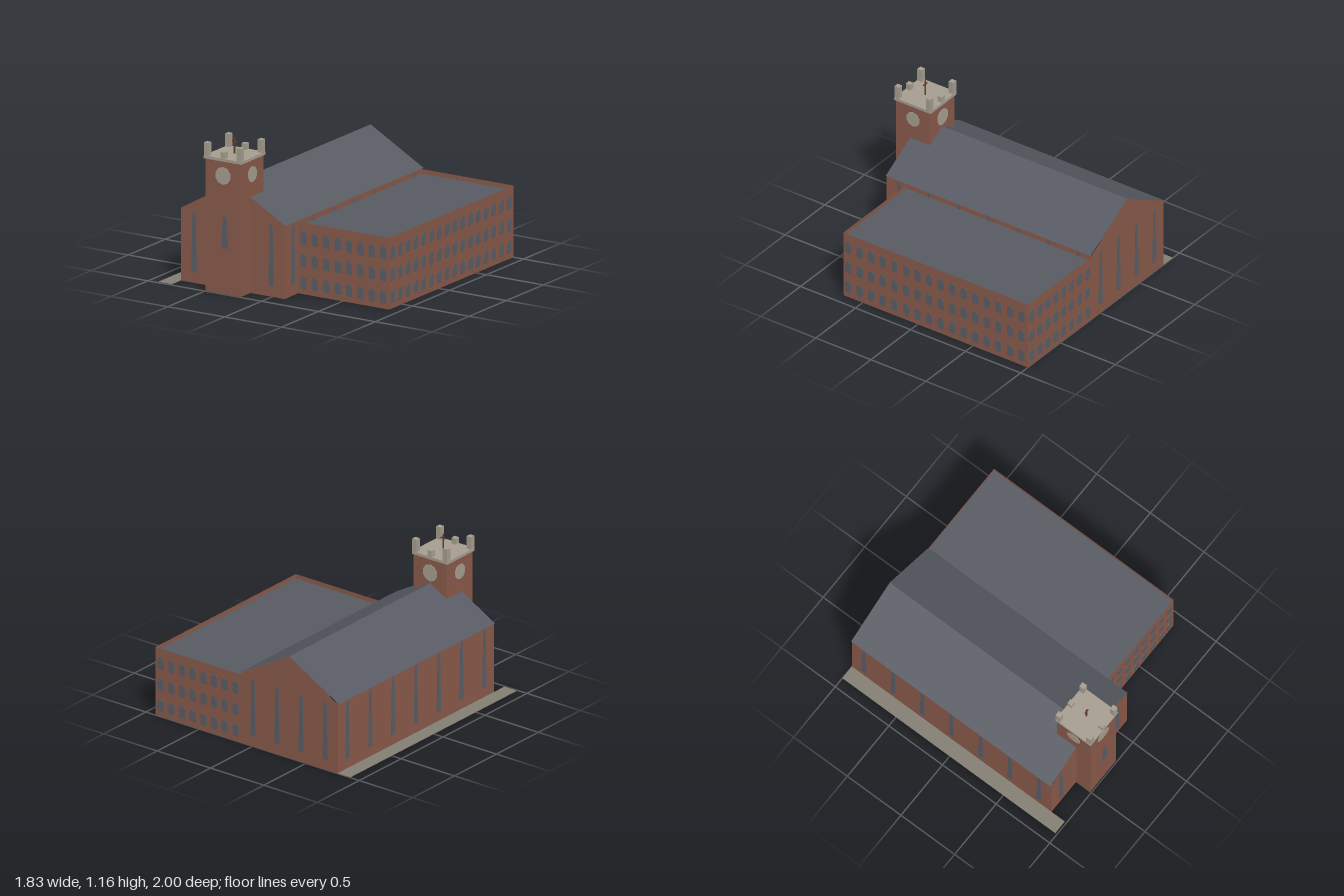
import * as THREE from 'three';

const mat = (name, color, side = THREE.FrontSide) => {
  const m = new THREE.MeshStandardMaterial({ color, side });
  m.name = name;
  return m;
};

export function createModel() {
  const model = new THREE.Group();
  model.name = 'brickChurch';
  const brick = mat('brick', 0x8a5a4b, THREE.DoubleSide);
  const slate = mat('slate', 0x585b63, THREE.DoubleSide);
  const stone = mat('stone', 0xa79f90);
  const glass = mat('glass', 0x5a5f67);
  const paving = mat('paving', 0x847f74);
  const iron = mat('darkRed', 0x6b3a32);

  const group = (name, parent = model) => {
    const g = new THREE.Group();
    g.name = name;
    parent.add(g);
    return g;
  };
  const add = (parent, name, geo, material, x = 0, y = 0, z = 0, ry = 0) => {
    const m = new THREE.Mesh(geo, material);
    m.name = name;
    m.position.set(x, y, z);
    m.rotation.y = ry;
    parent.add(m);
    return m;
  };
  const box = (parent, name, material, w, h, d, x, y, z) =>
    add(parent, name, new THREE.BoxGeometry(w, h, d), material, x, y, z);
  const shape = pts => new THREE.Shape(pts.map(p => new THREE.Vector2(...p)));
  const wall = (parent, name, pts, x, z, ry = 0) =>
    add(parent, name, new THREE.ShapeGeometry(shape(pts)), brick, x, 0, z, ry);
  const rect = (a, b, h) => [[a, 0], [b, 0], [b, h], [a, h]];
  // Thin plate straddling a wall so it shows inside and out
  const plate = pts => new THREE.ExtrudeGeometry(shape(pts), { depth: 0.008, bevelEnabled: false })
    .translate(0, 0, -0.004);

  const SIDE = Math.PI / 2;
  const smallWindow = plate([[-0.016, -0.048], [0.016, -0.048], [0.027, -0.034], [0.027, 0.028],
    [0.018, 0.044], [0, 0.049], [-0.018, 0.044], [-0.027, 0.028], [-0.027, -0.034]]);
  const lancetShape = (w, h) => plate([[-w * 0.7, 0], [w * 0.7, 0], [w, h * 0.06],
    [w * 0.55, h * 0.92], [w * 0.2, h], [-w * 0.2, h], [-w * 0.55, h * 0.92], [-w, h * 0.06]]);
  const lancet = lancetShape(0.024, 0.475);

  // Nave: walls and gables
  const L = -0.8, R = 0.11, MID = -0.345, BACK = -1, FRONT = 0.86, EAVE = 0.56, RIDGE = 0.82;
  const nave = group('nave');
  const gable = [[L, 0], [R, 0], [R, EAVE], [MID, RIDGE], [L, EAVE]];
  wall(nave, 'frontGable', gable, 0, FRONT);
  wall(nave, 'backGable', gable, 0, BACK);
  for (const x of [L, R]) {
    wall(nave, 'sideWall', rect(-FRONT, -BACK, EAVE), x, 0, SIDE);
    for (let i = 0; i < 7; i++)
      add(nave, 'sideLancet', lancet, glass, x, 0.083, 0.745 - i * 0.2717, SIDE);
  }
  for (const z of [FRONT, BACK])
    for (let i = 0; i < 4; i++)
      add(nave, 'gableLancet', lancet, glass, MID + (i - 1.5) * 0.226, 0.083, z);

  // Nave roof: two thin slopes
  const slopeLength = Math.hypot(0.465, RIDGE - EAVE);
  for (const s of [-1, 1]) {
    const slope = new THREE.PlaneGeometry(slopeLength, FRONT - BACK);
    slope.rotateX(-Math.PI / 2);
    slope.rotateZ(-s * Math.atan2(RIDGE - EAVE, 0.465));
    add(nave, 'roofSlope', slope, slate, MID + s * 0.2325, (RIDGE + EAVE) / 2 + 0.002, (FRONT + BACK) / 2);
  }

  // Wing: open walls forming a low parapet around a sunken flat roof
  const wing = group('wing');
  const WX = 0.91, WZ = 0.675, WH = 0.55;
  for (const z of [WZ, BACK]) {
    wall(wing, 'endWall', rect(R, WX, WH), 0, z);
    for (let row = 0; row < 3; row++)
      for (let i = 0; i < 8; i++)
        add(wing, 'window', smallWindow, glass, 0.158 + i * 0.1, 0.09 + row * 0.17, z);
  }
  wall(wing, 'longWall', rect(-WZ, -BACK, WH), WX, 0, SIDE);
  for (const x of [R, WX])
    for (let row = 0; row < 3; row++)
      for (let i = 0; i < 16; i++)
        add(wing, 'window', smallWindow, glass, x, 0.09 + row * 0.17, 0.63 - i * 0.105, SIDE);
  const flat = new THREE.PlaneGeometry(WX - R, WZ - BACK).rotateX(-Math.PI / 2);
  add(wing, 'flatRoof', flat, slate, (R + WX) / 2, 0.515, (WZ + BACK) / 2);

  // Tower shaft, open below
  const tower = group('tower');
  tower.position.set(MID, 0, 0.835);
  const H = 0.155, TOP = 1.02;
  for (let i = 0; i < 4; i++) {
    const face = group('towerFace', tower);
    face.rotation.y = i * SIDE;
    wall(face, 'towerWall', rect(-H, H, TOP), 0, H);
    const dial = new THREE.CylinderGeometry(1, 1, 0.008, 10).rotateX(SIDE);
    const r = i % 2 ? 0.061 : 0.068;
    add(face, 'clockFace', dial, stone, 0, 0.905, H).scale.set(r, r, 1);
  }
  add(tower, 'towerLancet', lancetShape(0.029, 0.25), glass, 0.015, 0.35, H);

  // Tower cap, pinnacles and cross
  box(tower, 'cap', stone, 0.33, 0.022, 0.33, 0, 1.028, 0);
  for (const z of [-0.143, 0.143]) {
    for (const x of [-0.143, 0.143])
      box(tower, 'pinnacle', stone, 0.04, 0.102, 0.04, x, 1.088, z);
    box(tower, 'merlon', stone, 0.04, 0.05, 0.04, 0, 1.062, z);
  }
  box(tower, 'crossPost', iron, 0.011, 0.13, 0.007, 0, 1.1, 0);
  box(tower, 'crossArm', iron, 0.044, 0.01, 0.007, 0, 1.132, 0);

  // Path along the side
  box(model, 'path', paving, 0.115, 0.005, 1.985, -0.8575, 0.0025, -0.0075);

  return model;
}
